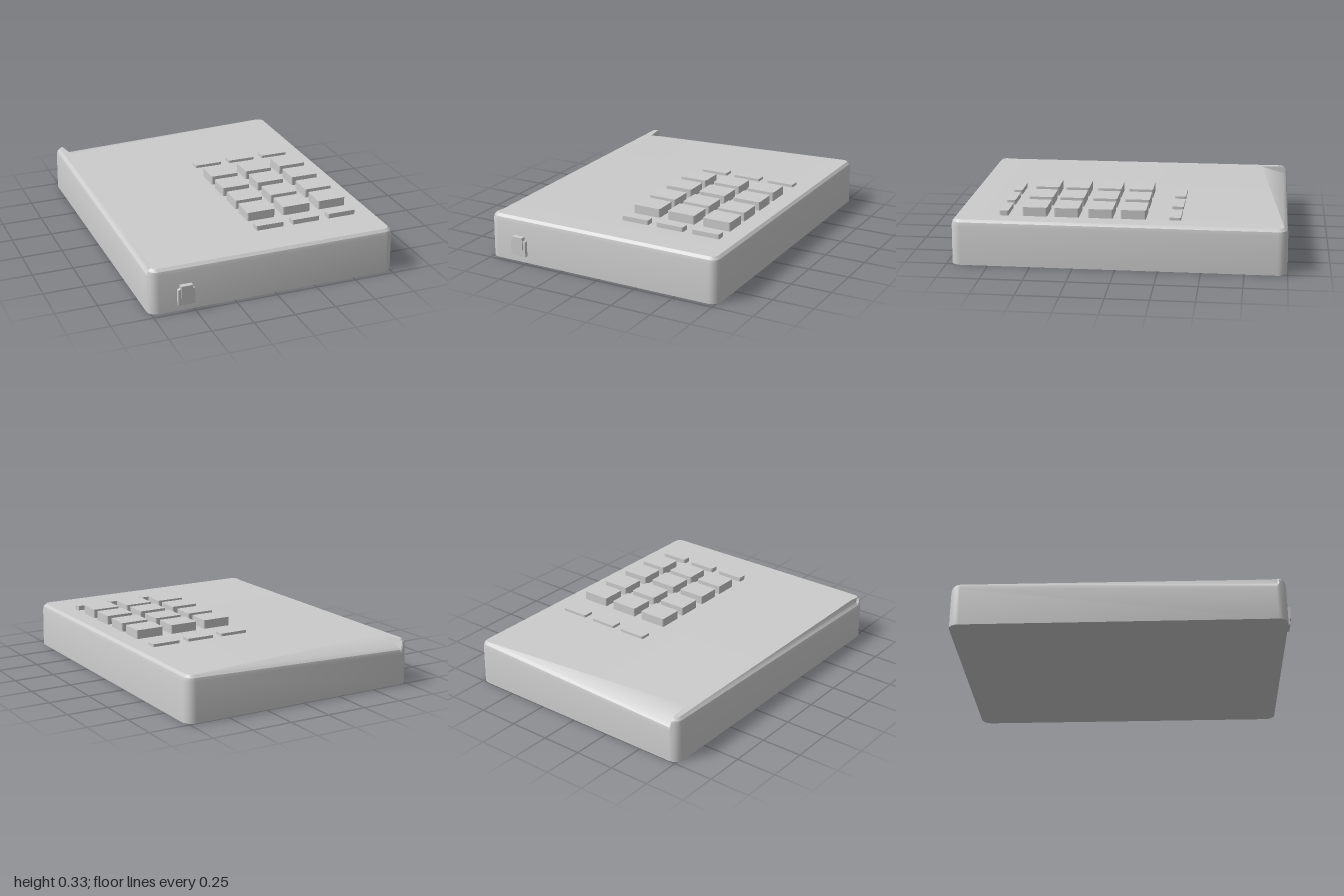
import * as THREE from 'three';
import { toCreasedNormals } from 'three/addons/utils/BufferGeometryUtils.js';

const TOP = 0.273;
const grey = new THREE.MeshStandardMaterial({ color: 0xcccccc, side: THREE.DoubleSide });

function add(parent, name, geometry, x = 0, y = 0, z = 0) {
  const mesh = new THREE.Mesh(geometry, grey);
  mesh.name = name;
  mesh.position.set(x, y, z);
  parent.add(mesh);
  return mesh;
}

// Case: rounded-rectangle rings from the base up to the softened top rim
function caseGeometry() {
  const hx = 0.765, z0 = -1, z1 = 0.972, r = 0.06, steps = 6;
  const rings = [[0, 0], [0.003, 0.236], [0.009, 0.258], [0.025, TOP], [0.025, TOP]]; // inset, height
  const n = 4 * (steps + 1);
  const pos = [], index = [];
  rings.forEach(([inset, y], level) => {
    for (let k = 0; k < 4; k++) {
      const cx = (k === 0 || k === 3 ? 1 : -1) * (hx - r);
      const cz = k < 2 ? z1 - r : z0 + r;
      for (let s = 0; s <= steps; s++) {
        const a = (k + s / steps) * Math.PI / 2;
        let px = cx + (r - inset) * Math.cos(a), pz = cz + (r - inset) * Math.sin(a), py = y;
        // The rim sags towards one end of the back edge and of the right edge
        if (s === steps && (k === 1 || k === 2)) {
          if (level > 0 && level < 4) py -= k === 2 ? 0.045 : 0.03;
          if (level === 4 && k === 2) { px = -0.69; pz = -0.83; }
          if (level === 4 && k === 1) { px = -0.73; pz = 0.87; }
        }
        pos.push(px, py, pz);
      }
    }
  });
  // Walls
  for (let l = 0; l < rings.length - 1; l++) {
    for (let i = 0; i < n; i++) {
      const j = (i + 1) % n, a = l * n + i, b = l * n + j, c = b + n, d = a + n;
      index.push(a, d, c, a, c, b);
    }
  }
  // Flat base and top panel, each wound to face outwards
  for (const [start, dir] of [[0, -1], [(rings.length - 1) * n, 1]]) {
    const pts = [];
    for (let i = start; i < start + n; i++) pts.push(new THREE.Vector2(pos[3 * i], pos[3 * i + 2]));
    for (const [a, b, c] of THREE.ShapeUtils.triangulateShape(pts, [])) {
      const turn = pts[b].clone().sub(pts[a]).cross(pts[c].clone().sub(pts[a]));
      if (turn * dir < 0) index.push(start + a, start + b, start + c);
      else index.push(start + a, start + c, start + b);
    }
  }
  const g = new THREE.BufferGeometry();
  g.setAttribute('position', new THREE.Float32BufferAttribute(pos, 3));
  g.setIndex(index);
  return toCreasedNormals(g, 0.5);
}

// Key cap: slightly rounded rectangle, extruded upwards
function keyGeometry(w, d, h, r = 0.01) {
  const x = w / 2, y = d / 2, s = new THREE.Shape();
  s.moveTo(-x + r, -y);
  s.lineTo(x - r, -y);
  s.quadraticCurveTo(x, -y, x, -y + r);
  s.lineTo(x, y - r);
  s.quadraticCurveTo(x, y, x - r, y);
  s.lineTo(-x + r, y);
  s.quadraticCurveTo(-x, y, -x, y - r);
  s.lineTo(-x, -y + r);
  s.quadraticCurveTo(-x, -y, -x + r, -y);
  const g = new THREE.ExtrudeGeometry(s, { depth: h, bevelEnabled: false, curveSegments: 3 });
  return g.rotateX(-Math.PI / 2);
}

export function createModel() {
  const model = new THREE.Group();
  model.name = 'keypadUnit';
  add(model, 'case', caseGeometry());

  // Keypad: rows of [name, back z, front z, top height]
  const keypad = new THREE.Group();
  keypad.name = 'keypad';
  model.add(keypad);
  const rows = [
    ['functionKey', -0.375, -0.305, 0.29],
    ['numberKey', -0.17, -0.02, 0.327],
    ['numberKey', 0.025, 0.172, 0.327],
    ['numberKey', 0.226, 0.374, 0.327],
    ['numberKey', 0.414, 0.562, 0.327],
    ['lowerKey', 0.645, 0.7, 0.302],
  ];
  const sink = 0.01;
  for (const [name, back, front, top] of rows) {
    const g = keyGeometry(0.177, front - back, top - TOP + sink);
    for (const x of [0.082, 0.313, 0.546]) add(keypad, name, g, x, TOP - sink, (back + front) / 2);
  }

  // Cable socket on the front: a block with a stepped latch tab on top
  const s = new THREE.Shape();
  [[-0.05, 0], [0.05, 0], [0.05, 0.095], [0.035, 0.1], [0.035, 0.12], [-0.035, 0.12], [-0.035, 0.1], [-0.05, 0.095]]
    .forEach(([x, y], i) => (i ? s.lineTo(x, y) : s.moveTo(x, y)));
  const socket = new THREE.ExtrudeGeometry(s, { depth: 0.04, bevelEnabled: false });
  add(model, 'socket', socket, -0.55, 0.043, 0.952);
  add(model, 'socketLatch', new THREE.BoxGeometry(0.07, 0.075, 0.02), -0.55, 0.126, 0.99);
  return model;
}
